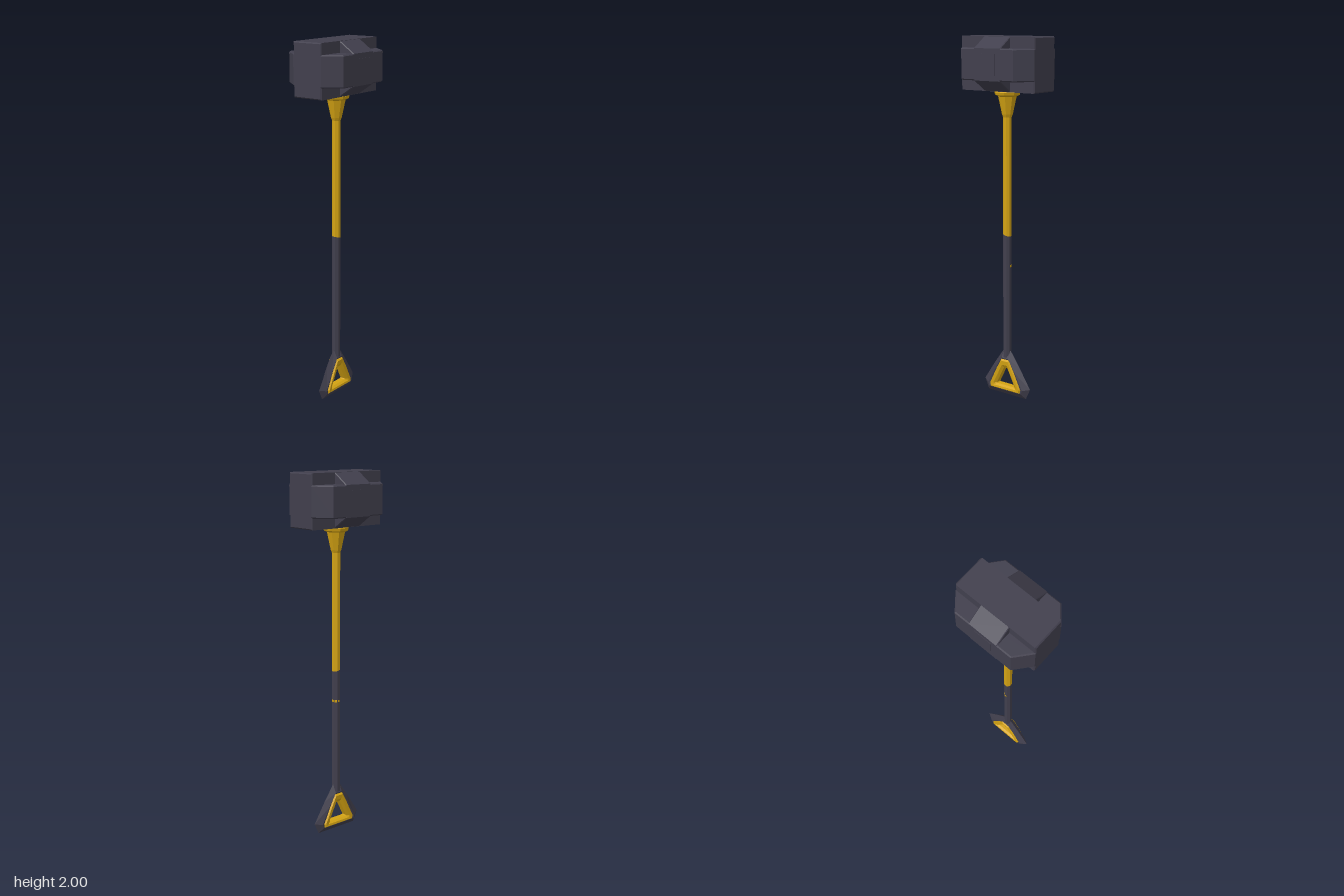
import * as THREE from 'three';

const mat = (name, color, extra = {}) => {
  const m = new THREE.MeshStandardMaterial({ color, flatShading: true, ...extra });
  m.name = name;
  return m;
};

// Prism with a small chamfer, centred on the origin and extruded along z
function bevelPrism(points, depth, b = 0.006) {
  const shape = new THREE.Shape(points.map(([x, y]) => new THREE.Vector2(x, y)));
  const g = new THREE.ExtrudeGeometry(shape, {
    depth: depth - 2 * b, bevelThickness: b, bevelSize: b, bevelOffset: -b, bevelSegments: 1,
  });
  return g.translate(0, 0, -depth / 2 + b);
}

// Rectangle with its corners cut: outer half size (w, h), flat half size (fw, fh)
const octagon = (w, h, fw, fh) => [
  [w, -fh], [w, fh], [fw, h], [-fw, h], [-w, fh], [-w, -fh], [-fw, -h], [fw, -h],
];

// Closed band between symmetric rings; each ring is [right-half points from top to bottom, z]
function loft(rings) {
  const loops = rings.map(([half, z]) => [
    ...half.map(([x, y]) => [x, y, z]),
    ...[...half].reverse().map(([x, y]) => [-x, y, z]),
  ]);
  const n = loops[0].length, index = [];
  for (let r = 0; r < loops.length - 1; r++) {
    for (let i = 0; i < n; i++) {
      const a = r * n + i, b = r * n + (i + 1) % n;
      index.push(a, b, a + n, b, b + n, a + n);
    }
  }
  const g = new THREE.BufferGeometry();
  g.setAttribute('position', new THREE.Float32BufferAttribute(loops.flat(2), 3));
  g.setIndex(index);
  g.computeVertexNormals();
  return g;
}

// Eight-sided rod whose ends may slope along x
function rod(r, y0, y1, slope0, slope1) {
  const g = new THREE.CylinderGeometry(r, r, y1 - y0, 8).rotateY(Math.PI / 8);
  g.translate(0, (y0 + y1) / 2, 0);
  const p = g.attributes.position, mid = (y0 + y1) / 2;
  for (let i = 0; i < p.count; i++) {
    p.setY(i, p.getY(i) + p.getX(i) * (p.getY(i) < mid ? slope0 : slope1));
  }
  return g;
}

export function createModel() {
  const model = new THREE.Group();
  model.name = 'sledgehammer';
  const dark = mat('dark steel', 0x413f4d, { side: THREE.DoubleSide });
  const yellow = mat('yellow paint', 0xd4a313, { side: THREE.DoubleSide });
  const add = (name, geo, material, parent = model) => {
    const m = new THREE.Mesh(geo, material);
    m.name = name;
    parent.add(m);
    return m;
  };

  // Head: long core, chamfered side cheeks and a faceted middle band
  const head = new THREE.Group();
  head.name = 'head';
  head.position.y = 1.8575;
  model.add(head);
  const H = 0.1425;
  add('headCore', bevelPrism([[-0.09, -H], [0.09, -H], [0.09, H], [-0.09, H]], 0.48)
    .rotateY(Math.PI / 2), dark, head);
  add('headCheeks', bevelPrism(octagon(0.24, 0.177, 0.168, 0.09), 0.166)
    .rotateX(-Math.PI / 2), dark, head);
  add('headBand', bevelPrism(octagon(0.177, H, 0.088, 0.083), 0.17, 0.004)
    .rotateY(Math.PI / 2), dark, head);
  for (const s of [1, -1]) {
    add('facePlate', new THREE.BoxGeometry(0.1, 0.11, 0.004), dark, head)
      .position.z = s * 0.177;
  }

  // Handle: dark grip below, yellow shaft above, with a sloping joint
  const R = 0.0235, slope = -0.25;
  add('grip', rod(R, 0.215, 0.93, 0, slope), dark);
  add('shaft', rod(R, 0.93, 1.62, slope, 0), yellow);

  // Small painted marks around the grip
  for (let i = 0; i < 3; i++) {
    const a = Math.PI / 2 + i * Math.PI / 4;
    const m = add('gripMark', new THREE.BoxGeometry(0.012, 0.012, 0.002), yellow);
    m.position.set(Math.sin(a) * 0.0222, 0.757, Math.cos(a) * 0.0222);
    m.rotation.y = a;
  }

  // Flared collar under the head
  const collar = [[0.024, 1.575], [0.03, 1.59], [0.051, 1.685], [0.068, 1.694],
    [0.072, 1.708], [0.06, 1.72], [0, 1.72]];
  add('collar', new THREE.LatheGeometry(collar.map(([x, y]) => new THREE.Vector2(x, y)), 8)
    .rotateY(Math.PI / 8), yellow);

  // Triangular pommel: sharp dark rim with a yellow frame round the hole
  const rim = [[0.022, 0.268], [0.085, 0.178], [0.158, 0.064], [0.13, 0.003]];
  const shoulder = [[0.022, 0.222], [0.068, 0.15], [0.118, 0.055], [0.11, 0.034]];
  const frameOut = [[0.026, 0.215], [0.062, 0.148], [0.107, 0.054], [0.102, 0.033]];
  const frameTop = [[0.023, 0.206], [0.056, 0.145], [0.098, 0.056], [0.095, 0.04]];
  const frameIn = [[0.018, 0.182], [0.042, 0.133], [0.08, 0.06], [0.078, 0.051]];
  const hole = [[0.012, 0.163], [0.032, 0.123], [0.061, 0.064], [0.058, 0.06]];
  const pommel = new THREE.Group();
  pommel.name = 'pommel';
  model.add(pommel);
  for (const s of [1, -1]) {
    add('pommelRim', loft([[rim, 0], [shoulder, s * 0.024], [frameOut, s * 0.022]]), dark, pommel);
    add('pommelFrame', loft([[frameOut, s * 0.02], [frameTop, s * 0.03], [frameIn, s * 0.028],
      [hole, s * 0.016], [hole, 0]]), yellow, pommel);
  }
  return model;
}
